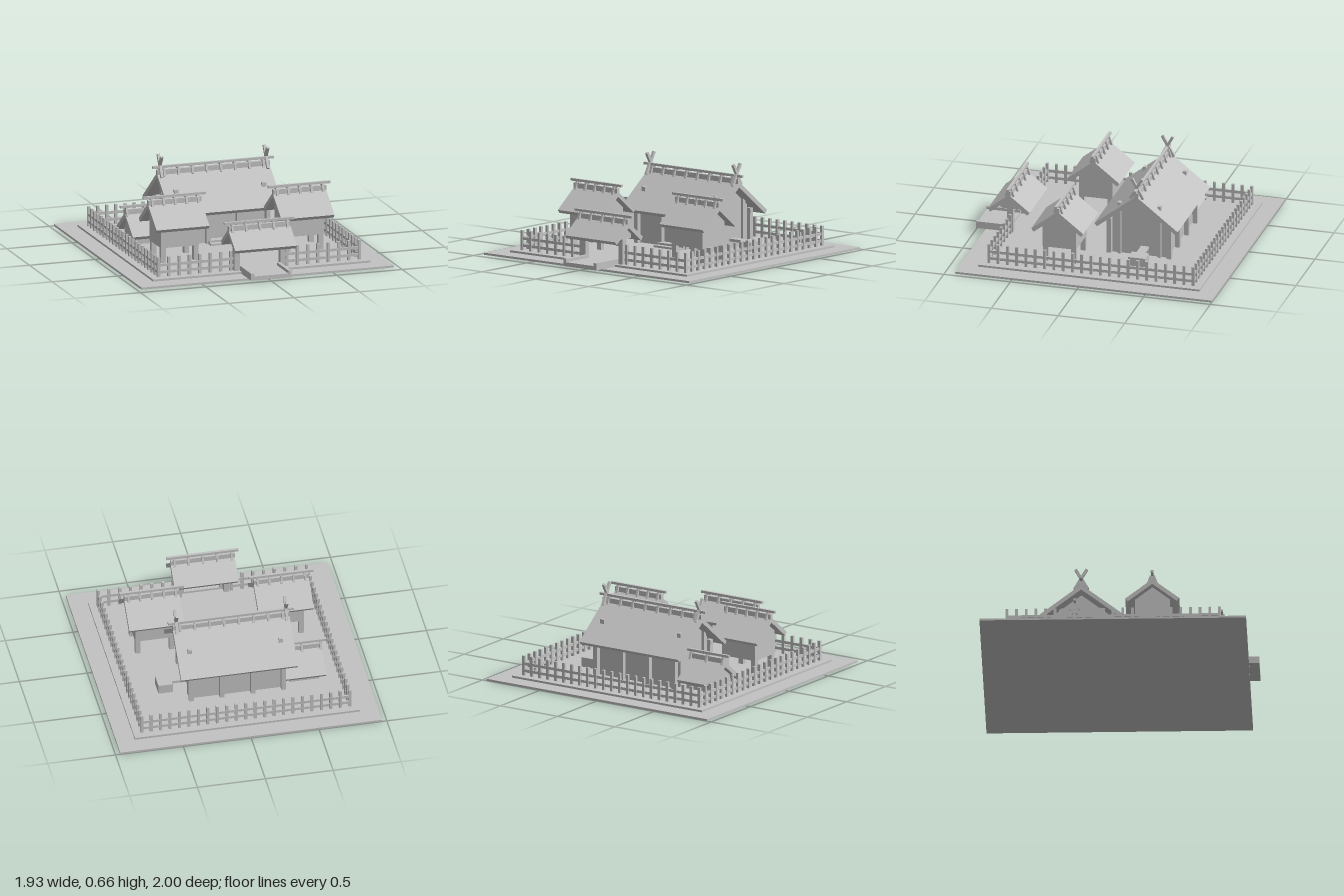
import * as THREE from 'three';

const stone = new THREE.MeshStandardMaterial({ color: 0xc2c2c2 });
stone.name = 'plain grey';
const SLOPE = 0.78;

function add(parent, name, geometry) {
  const mesh = new THREE.Mesh(geometry, stone);
  mesh.name = name;
  parent.add(mesh);
  return mesh;
}

// box given by its limits on each axis
function box(parent, name, x0, x1, y0, y1, z0, z1) {
  const m = add(parent, name, new THREE.BoxGeometry(x1 - x0, y1 - y0, z1 - z0));
  m.position.set((x0 + x1) / 2, (y0 + y1) / 2, (z0 + z1) / 2);
  return m;
}

// square bar between two points of the z-y plane at a given x
function bar(parent, name, x, [z0, y0], [z1, y1], width) {
  const m = add(parent, name, new THREE.BoxGeometry(width, Math.hypot(z1 - z0, y1 - y0), width));
  m.position.set(x, (y0 + y1) / 2, (z0 + z1) / 2);
  m.rotation.x = Math.atan2(z1 - z0, y1 - y0);
}

// z-y profile extruded along x, centred on x = 0
function prism(parent, name, points, length) {
  const shape = new THREE.Shape(points.map(([z, y]) => new THREE.Vector2(-z, y)));
  const g = new THREE.ExtrudeGeometry(shape, { depth: length, bevelEnabled: false });
  g.translate(0, 0, -length / 2).rotateY(Math.PI / 2);
  return add(parent, name, g);
}

// gabled roof with ridge beam and slanted ridge pegs
function roof(parent, { apex, half, length, pegs, pegSpan, over }) {
  const t = 0.03, a = Math.atan(SLOPE);
  const dz = t * Math.sin(a), dy = t * Math.cos(a), eave = apex - SLOPE * half;
  prism(parent, 'roof', [
    [-half, eave], [-half + dz, eave - dy], [0, apex - t / Math.cos(a)],
    [half - dz, eave - dy], [half, eave], [0, apex],
  ], length);
  box(parent, 'ridgeCap', -length / 2, length / 2, apex - 0.02, apex + 0.025, -0.015, 0.015);
  box(parent, 'ridgeBeam', -length / 2 - over, length / 2 + over, apex + 0.036, apex + 0.054, -0.01, 0.01);
  for (let i = 0; i < pegs; i++) {
    const x = pegSpan * (i / (pegs - 1) - 0.5);
    for (const s of [-1, 1])
      bar(parent, 'ridgePeg', x, [s * 0.01, apex + 0.037], [s * 0.03, apex - 0.02], 0.016);
  }
}

// walls with gable ends reaching the underside of the roof
function walls(parent, apex, w, length, bottom) {
  const top = apex - 0.036, side = top - SLOPE * w;
  prism(parent, 'walls', [[-w, bottom], [w, bottom], [w, side], [0, top], [-w, side]], length);
}

function place(parent, name, x, z) {
  const g = new THREE.Group();
  g.name = name;
  g.position.set(x, 0, z);
  parent.add(g);
  return g;
}

export function createModel() {
  const model = new THREE.Group();
  model.name = 'shrineCompound';

  // ground
  box(model, 'groundSlab', -0.965, 0.965, 0, 0.015, -1, 0.925);
  box(model, 'terrace', -0.83, 0.83, 0.015, 0.03, -0.87, 0.79);

  // fence, open at the gate
  const fence = place(model, 'fence', 0, 0);
  const X = 0.767, Z0 = -0.807, Z1 = 0.727;
  const post = (x, z) => box(fence, 'fencePost', x - 0.01, x + 0.01, 0.03, 0.176, z - 0.01, z + 0.01);
  for (let i = 0; i <= 22; i++) {
    const z = Z0 + (Z1 - Z0) * i / 22;
    post(-X, z);
    post(X, z);
  }
  for (let i = 1; i < 22; i++) post(-X + 2 * X * i / 22, Z0);
  for (let i = 1; i <= 7; i++) for (const s of [-1, 1]) post(s * (X - 0.079 * i), Z1);
  for (const y of [0.055, 0.107]) {
    for (const s of [-1, 1]) {
      box(fence, 'sideRail', s * X - 0.006, s * X + 0.006, y, y + 0.02, Z0, Z1);
      box(fence, 'frontRail', Math.min(s * X, s * 0.18), Math.max(s * X, s * 0.18), y, y + 0.02, Z1 - 0.006, Z1 + 0.006);
    }
    box(fence, 'backRail', -X, X, y, y + 0.02, Z0 - 0.006, Z0 + 0.006);
  }

  // main hall
  const hall = place(model, 'mainHall', 0, -0.28);
  roof(hall, { apex: 0.525, half: 0.312, length: 0.86, pegs: 8, pegSpan: 0.757, over: 0.033 });
  walls(hall, 0.525, 0.205, 0.66, 0.03);
  for (const s of [-1, 1]) {
    for (const x of [-0.34, -0.115, 0.115, 0.34])
      box(hall, 'hallPost', x - 0.017, x + 0.017, 0.03, 0.3, s * 0.225 - 0.017, s * 0.225 + 0.017);
    box(hall, 'eaveBeam', -0.36, 0.36, 0.265, 0.29, s * 0.225 - 0.012, s * 0.225 + 0.012);
    for (const x of [-0.335, 0.335]) // tall posts piercing the roof
      box(hall, 'tallPost', x - 0.016, x + 0.016, 0.03, 0.43, s * 0.15 - 0.013, s * 0.15 + 0.013);
    // crossed finials
    for (const d of [-1, 1])
      bar(hall, 'crossedFinial', s * 0.405, [d * 0.04, 0.655], [-d * 0.048, 0.5], 0.02);
  }
  // front steps and side platform
  box(hall, 'lowerStep', -0.12, 0.12, 0.03, 0.045, 0.23, 0.305);
  box(hall, 'upperStep', -0.12, 0.12, 0.045, 0.06, 0.2, 0.265);
  box(hall, 'sideLanding', 0.45, 0.555, 0.03, 0.1, -0.105, 0.025);
  box(hall, 'sideBridge', 0.33, 0.45, 0.08, 0.1, -0.07, -0.01);

  // raised storehouses left and right
  for (const s of [-1, 1]) {
    const store = place(model, 'storehouse', s * 0.477, 0.24);
    roof(store, { apex: 0.447, half: 0.195, length: 0.405, pegs: 5, pegSpan: 0.35, over: 0.035 });
    walls(store, 0.447, 0.125, 0.29, 0.14);
    for (const x of [-0.125, 0.125]) for (const z of [-0.105, 0.105])
      box(store, 'stilt', x - 0.018, x + 0.018, 0.03, 0.15, z - 0.018, z + 0.018);
  }

  // low shed beside the hall
  const shed = place(model, 'shed', -0.51, -0.32);
  roof(shed, { apex: 0.24, half: 0.18, length: 0.3, pegs: 3, pegSpan: 0.28, over: 0.035 });
  walls(shed, 0.24, 0.12, 0.22, 0.03);

  // gate with approach ramp
  const gate = place(model, 'gate', 0, 0.73);
  roof(gate, { apex: 0.338, half: 0.157, length: 0.472, pegs: 5, pegSpan: 0.42, over: 0.03 });
  walls(gate, 0.338, 0.072, 0.39, 0.215);
  for (const s of [-1, 1]) {
    box(gate, 'gatePost', s * 0.175 - 0.02, s * 0.175 + 0.02, 0.03, 0.24, -0.021, 0.023);
    box(gate, 'rampCurb', s * 0.142 - 0.012, s * 0.142 + 0.012, 0.015, 0.067, 0.02, 0.27);
  }
  box(gate, 'rampFloor', -0.135, 0.135, 0.015, 0.045, 0.02, 0.27);

  return model;
}
